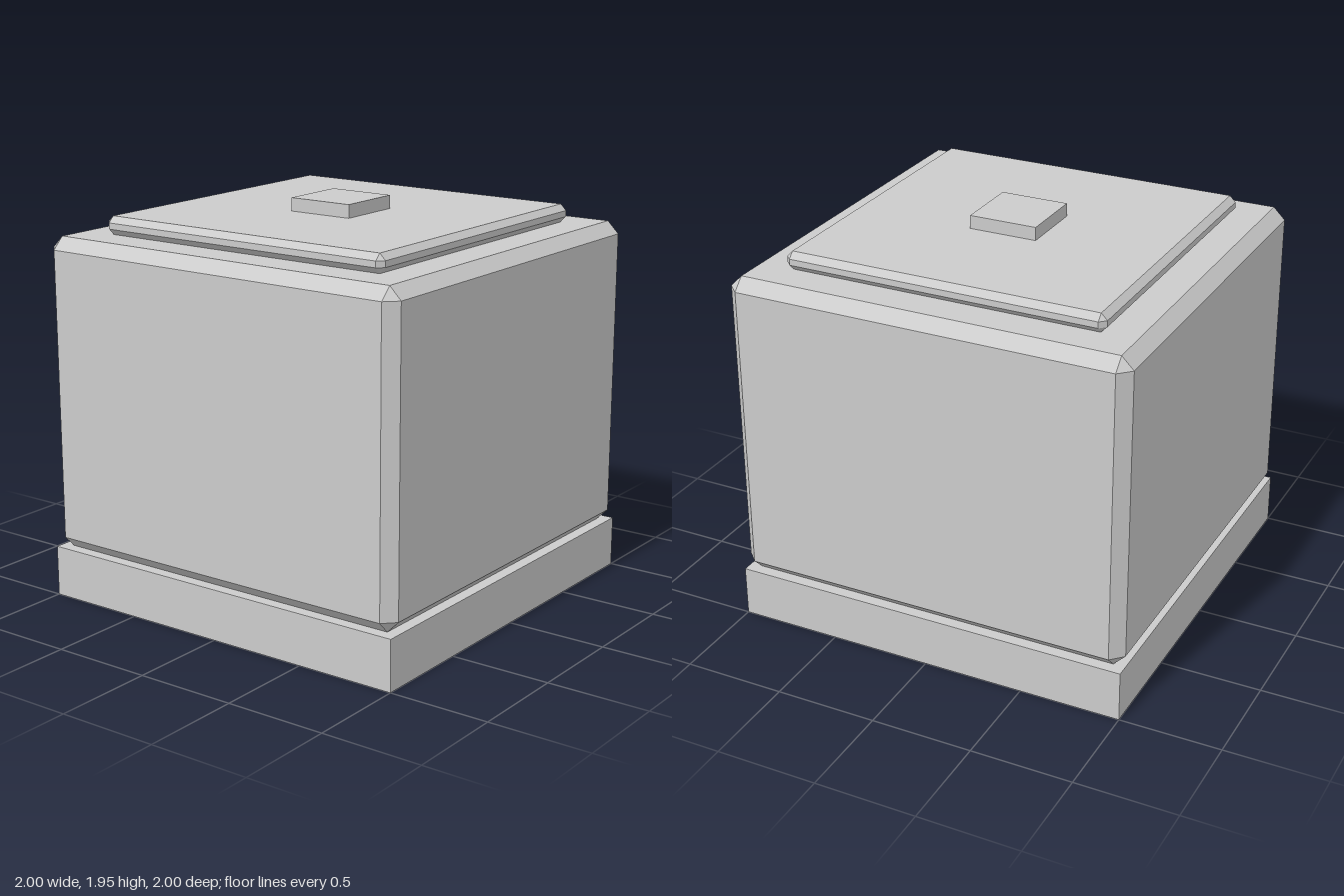
import * as THREE from 'three';
import { ConvexGeometry } from 'three/addons/geometries/ConvexGeometry.js';

const material = new THREE.MeshStandardMaterial({ color: 0xcccccc, flatShading: true });

// Box with every edge cut by a single flat chamfer
function chamferedBox(w, h, d, c) {
  const points = [];
  for (const sx of [-1, 1]) for (const sy of [-1, 1]) for (const sz of [-1, 1]) {
    const x = w / 2, y = h / 2, z = d / 2;
    points.push(
      new THREE.Vector3(sx * x, sy * (y - c), sz * (z - c)),
      new THREE.Vector3(sx * (x - c), sy * y, sz * (z - c)),
      new THREE.Vector3(sx * (x - c), sy * (y - c), sz * z)
    );
  }
  return new ConvexGeometry(points);
}

export function createModel() {
  const model = new THREE.Group();
  model.name = 'lidded box';

  // Square block spanning bottom..top, optionally chamfered
  const addBlock = (name, width, bottom, top, chamfer = 0) => {
    const height = top - bottom;
    const geometry = chamfer
      ? chamferedBox(width, height, width, chamfer)
      : new THREE.BoxGeometry(width, height, width);
    const mesh = new THREE.Mesh(geometry, material);
    mesh.name = name;
    mesh.position.y = (bottom + top) / 2;
    model.add(mesh);
  };

  addBlock('base', 2, 0.026, 0.277);
  addBlock('body', 2, 0.277, 1.825, 0.059);
  addBlock('lid', 1.6, 1.825, 1.915, 0.03);
  addBlock('knob', 0.34, 1.915, 1.98);

  return model;
}
